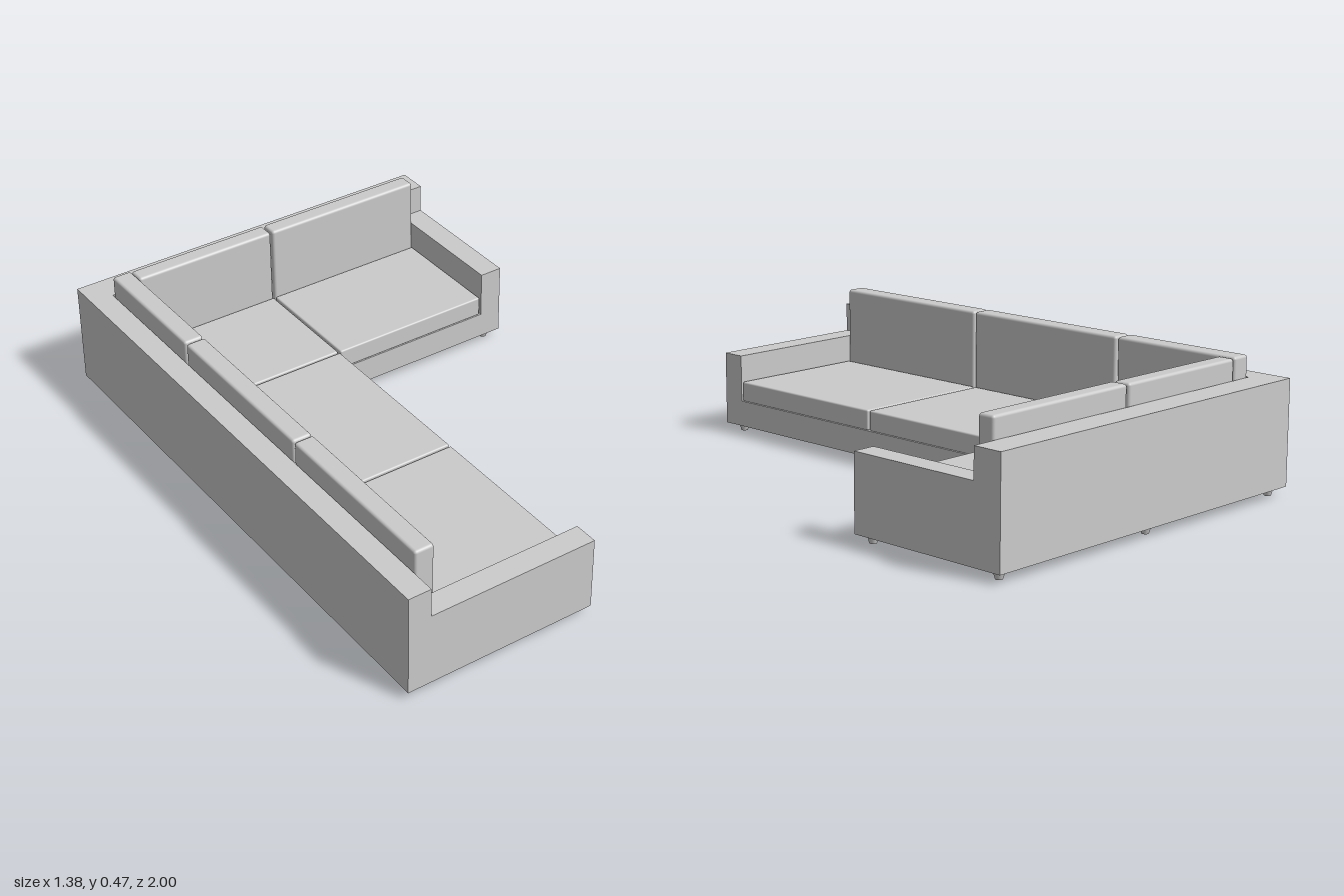
import * as THREE from 'three';
import { RoundedBoxGeometry } from 'three/addons/geometries/RoundedBoxGeometry.js';

const material = new THREE.MeshStandardMaterial({ color: 0xcccccc });

export function createModel() {
  const sofa = new THREE.Group();
  sofa.name = 'cornerSofa';

  const add = (name, geometry, x = 0, y = 0, z = 0) => {
    const mesh = new THREE.Mesh(geometry, material);
    mesh.name = name;
    mesh.position.set(x, y, z);
    sofa.add(mesh);
  };

  // Boxes given by their limits on each axis; a radius softens the edges
  const block = (name, [x0, x1], [y0, y1], [z0, z1], radius = 0) => {
    const size = [x1 - x0, y1 - y0, z1 - z0];
    const geometry = radius
      ? new RoundedBoxGeometry(...size, 3, radius)
      : new THREE.BoxGeometry(...size);
    add(name, geometry, (x0 + x1) / 2, (y0 + y1) / 2, (z0 + z1) / 2);
  };

  // L-shaped slab: plan outline as [x, z] corners, raised from y0 to y1
  const slab = (name, corners, y0, y1) => {
    const shape = new THREE.Shape(corners.map(([x, z]) => new THREE.Vector2(x, -z)));
    const geometry = new THREE.ExtrudeGeometry(shape, { depth: y1 - y0, bevelEnabled: false });
    geometry.rotateX(-Math.PI / 2);
    add(name, geometry, 0, y0, 0);
  };

  // Frame: seat platform, wrap-around back and the two low arms
  const bottom = 0.03, seatBase = 0.123, armTop = 0.29, backTop = 0.393;
  slab('seatPlatform',
    [[-0.608, 0.915], [0, 0.915], [0, -0.4], [0.608, -0.4], [0.608, -0.895], [-0.608, -0.895]],
    bottom, seatBase);
  slab('backFrame',
    [[-0.69, 1], [-0.608, 1], [-0.608, -0.895], [0.69, -0.895], [0.69, -1], [-0.69, -1]],
    bottom, backTop);
  block('frontArm', [-0.608, 0], [bottom, armTop], [0.915, 1]);
  block('sideArm', [0.608, 0.69], [bottom, armTop], [-0.895, -0.4]);

  // Seat cushions
  const seatY = [seatBase, 0.195];
  const seats = [
    [[-0.533, -0.002], [0.258, 0.911]],
    [[-0.533, -0.002], [-0.4, 0.25]],
    [[-0.533, -0.004], [-0.828, -0.408]],
    [[0.004, 0.603], [-0.828, -0.402]],
  ];
  for (const [x, z] of seats) block('seatCushion', x, seatY, z, 0.006);

  // Back cushions along the long side, then along the rear
  for (const z of [[0.262, 0.912], [-0.394, 0.256], [-0.892, -0.402]])
    block('longSideBackCushion', [-0.605, -0.535], [seatBase, 0.468], z, 0.01);
  for (const x of [[-0.532, -0.004], [0.004, 0.605]])
    block('rearBackCushion', x, [seatBase, 0.465], [-0.892, -0.83], 0.01);

  // Tapered feet
  const foot = new THREE.CylinderGeometry(0.02, 0.012, bottom, 20);
  const feet = [
    [-0.65, 0.96], [-0.05, 0.96], [-0.65, 0.255], [-0.05, 0.255], [-0.65, -0.435],
    [-0.018, -0.435], [0.645, -0.435], [-0.65, -0.955], [-0.018, -0.955], [0.645, -0.955],
  ];
  for (const [x, z] of feet) add('foot', foot, x, bottom / 2, z);

  return sofa;
}
